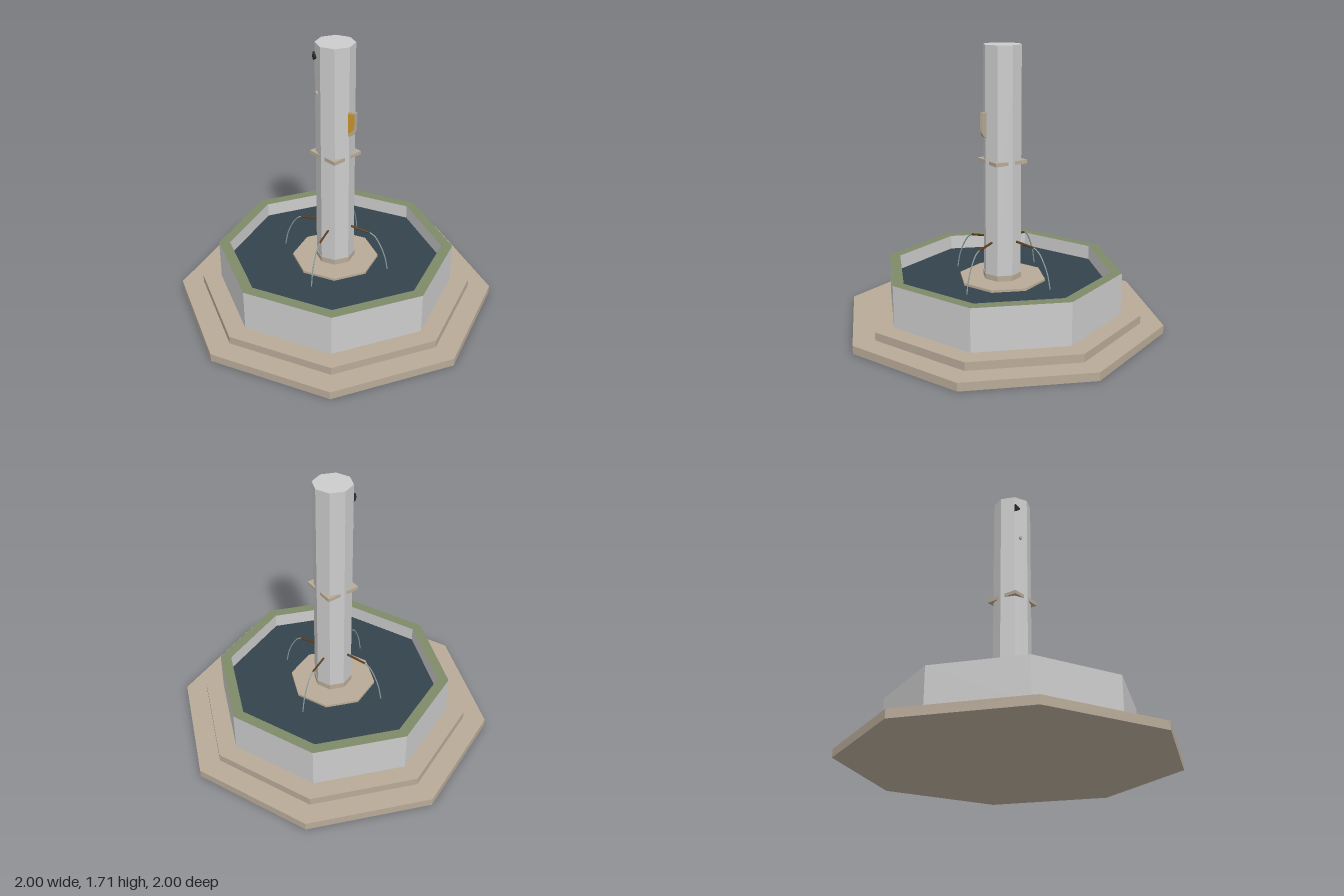
import * as THREE from 'three';

const mat = (color) => new THREE.MeshStandardMaterial({ color, flatShading: true, side: THREE.DoubleSide });
const GREY = mat(0xcccccc), TAN = mat(0xb8aa98), GREEN = mat(0x7d8a68), WATER = mat(0x34444c),
  PIPE = mat(0x5a3c20), JET = mat(0x8a9a9c), GOLD = mat(0xc8962e), DARK = mat(0x2c2c2c);

export function createModel() {
  const model = new THREE.Group();

  const add = (name, geometry, material, parent = model) => {
    const mesh = new THREE.Mesh(geometry, material);
    mesh.name = name;
    parent.add(mesh);
    return mesh;
  };

  // Octagonal prism with corners on the axes
  const octagon = (name, r, y0, y1, material) => {
    const mesh = add(name, new THREE.CylinderGeometry(r, r, y1 - y0, 8), material);
    mesh.position.y = (y0 + y1) / 2;
    return mesh;
  };

  // Octagonal band swept from a short profile of [radius, height]
  const band = (name, profile, material) =>
    add(name, new THREE.LatheGeometry(profile.map(([r, y]) => new THREE.Vector2(r, y)), 8), material);

  // Steps
  octagon('lowerStep', 1, 0, 0.05, TAN);
  octagon('upperStep', 0.86, 0.05, 0.1, TAN);

  // Basin
  band('basinOuterWall', [[0.74, 0.1], [0.74, 0.36]], GREY);
  band('basinRim', [[0.74, 0.36], [0.67, 0.36]], GREEN);
  band('basinInnerWall', [[0.67, 0.36], [0.67, 0.1]], GREY);
  octagon('water', 0.67, 0.11, 0.27, WATER);

  // Column with its base and square collar
  octagon('pedestal', 0.27, 0.2, 0.285, TAN);
  octagon('columnFoot', 0.121, 0.285, 0.32, TAN);
  octagon('column', 0.117, 0.28, 1.71, GREY);
  add('collar', new THREE.BoxGeometry(0.215, 0.022, 0.215), TAN).position.y = 1.017;

  // Four spouts, one on every second face of the column
  const spoutPath = new THREE.LineCurve3(new THREE.Vector3(0.1, 0.525, 0), new THREE.Vector3(0.235, 0.508, 0));
  const jetPath = new THREE.CatmullRomCurve3([[0.23, 0.509], [0.265, 0.49], [0.3, 0.44], [0.335, 0.36], [0.355, 0.27]]
    .map(([x, y]) => new THREE.Vector3(x, y, 0)));
  for (let i = 0; i < 4; i++) {
    const spout = new THREE.Group();
    spout.name = 'spout' + (i + 1);
    spout.rotation.y = Math.PI / 8 + i * Math.PI / 2;
    add('pipe', new THREE.TubeGeometry(spoutPath, 1, 0.007, 6), PIPE, spout);
    add('waterJet', new THREE.TubeGeometry(jetPath, 12, 0.004, 6), JET, spout);
    model.add(spout);
  }

  // Thin fin with a rounded lower corner and a gold panel
  const finShape = (x0, x1, y0, y1) => {
    const s = new THREE.Shape();
    s.moveTo(x0, y0);
    s.quadraticCurveTo(x1, y0 + 0.01, x1, y0 + 0.06);
    s.lineTo(x1, y1);
    s.lineTo(x0, y1);
    s.closePath();
    return s;
  };
  const extrude = (shape, depth) => new THREE.ExtrudeGeometry(shape, { depth, bevelEnabled: false, curveSegments: 5 });
  const fin = new THREE.Group();
  fin.name = 'sideFin';
  fin.rotation.y = Math.PI / 8;
  fin.position.z = 0.038;
  add('finFrame', extrude(finShape(0.1, 0.168, 1.16, 1.32), 0.014), TAN, fin);
  add('finPanel', extrude(finShape(0.1, 0.156, 1.18, 1.31), 0.003), GOLD, fin).position.z = 0.013;
  model.add(fin);

  // Small fittings on the front left face
  const fittings = new THREE.Group();
  fittings.name = 'frontFittings';
  fittings.rotation.y = -Math.PI / 8;
  const horn = add('horn', new THREE.CylinderGeometry(0.007, 0.03, 0.034, 6), DARK, fittings);
  horn.rotation.z = -Math.PI / 2;
  horn.scale.z = 0.4;
  horn.position.set(-0.027, 1.63, 0.112);
  const knob = add('knob', new THREE.CylinderGeometry(0.011, 0.011, 0.016, 6), TAN, fittings);
  knob.rotation.x = Math.PI / 2;
  knob.position.set(-0.005, 1.417, 0.112);
  model.add(fittings);

  return model;
}
